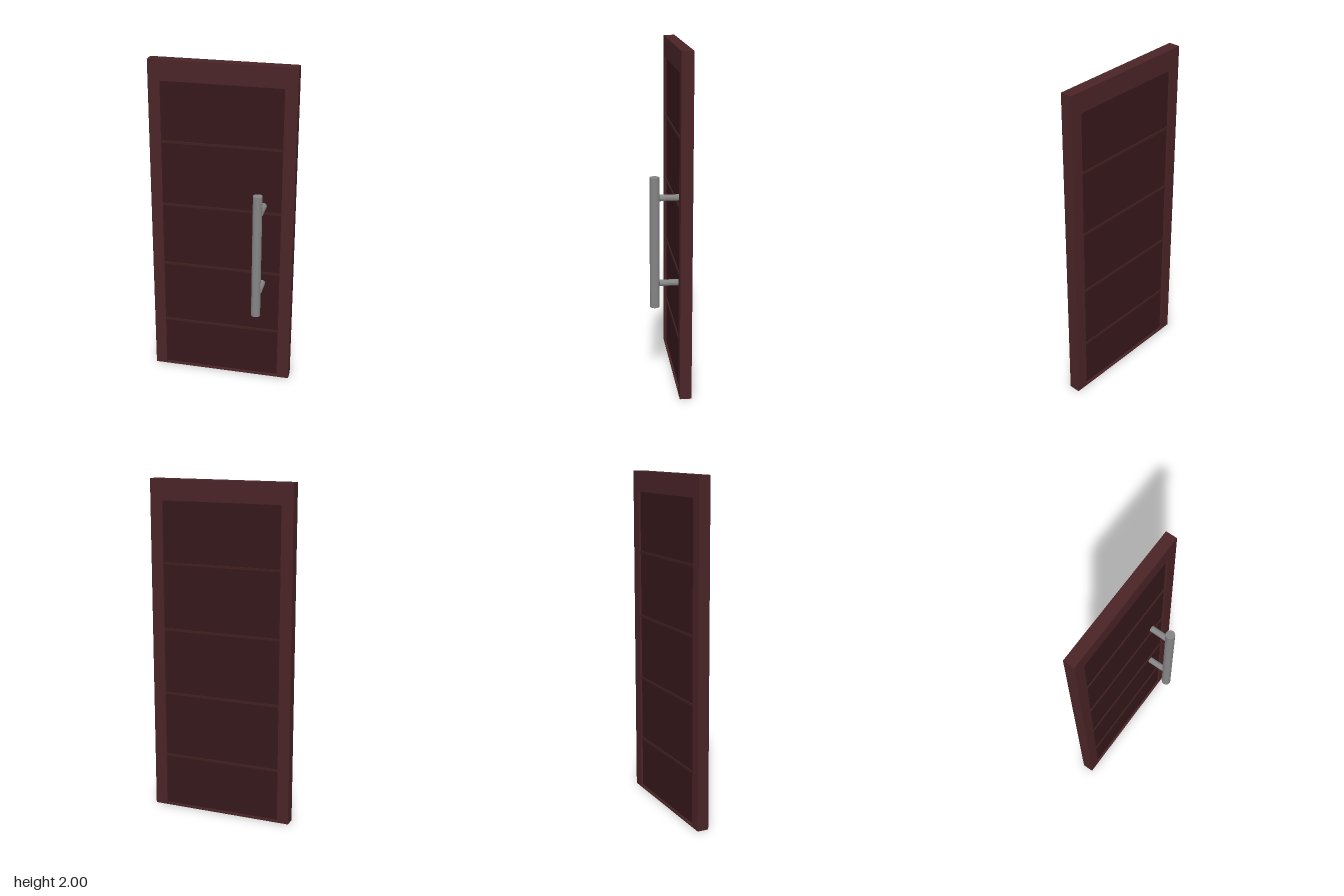
import * as THREE from 'three';

const ZC = -0.077; // mid-plane of the door leaf
const DEPTH = 0.068;

export function createModel() {
  const model = new THREE.Group();
  model.name = 'door';
  const wood = new THREE.MeshStandardMaterial({ color: 0x4a2427 });
  const panelWood = new THREE.MeshStandardMaterial({ color: 0x36181a });
  const slatWood = new THREE.MeshStandardMaterial({ color: 0x40201f });
  const metal = new THREE.MeshStandardMaterial({ color: 0x858585, flatShading: true });

  const add = (name, geometry, material, x, y, z, parent = model) => {
    const mesh = new THREE.Mesh(geometry, material);
    mesh.name = name;
    mesh.position.set(x, y, z);
    parent.add(mesh);
    return mesh;
  };

  // Outer frame with one tall opening
  const outline = new THREE.Shape([[-0.432, 0], [0.432, 0], [0.432, 2], [-0.432, 2]]
    .map(([x, y]) => new THREE.Vector2(x, y)));
  outline.holes.push(new THREE.Path([[-0.362, 0.012], [-0.362, 1.878], [0.358, 1.878], [0.358, 0.012]]
    .map(([x, y]) => new THREE.Vector2(x, y))));
  const frame = new THREE.ExtrudeGeometry(outline, { depth: DEPTH, bevelEnabled: false });
  add('frame', frame, wood, 0, 0, ZC - DEPTH / 2);

  // Recessed panel, visible from both faces
  add('panel', new THREE.BoxGeometry(0.722, 1.868, 0.044), panelWood, -0.002, 0.945, ZC);

  // Thin slats dividing the panel into five fields
  const slatGeometry = new THREE.BoxGeometry(0.72, 0.014, 0.058);
  for (const y of [0.327, 0.724, 1.118, 1.514]) {
    add('slat', slatGeometry, slatWood, -0.002, y, ZC);
  }

  // Pull handle: upright bar on two short posts
  const handle = new THREE.Group();
  handle.name = 'handle';
  model.add(handle);
  add('handleBar', new THREE.CylinderGeometry(0.028, 0.028, 0.775, 12), metal, 0.24, 0.893, 0.082, handle);
  const postGeometry = new THREE.CylinderGeometry(0.019, 0.019, 0.11, 12).rotateX(Math.PI / 2);
  for (const y of [0.655, 1.163]) {
    add('handlePost', postGeometry, metal, 0.251, y, 0.0, handle);
  }

  return model;
}
